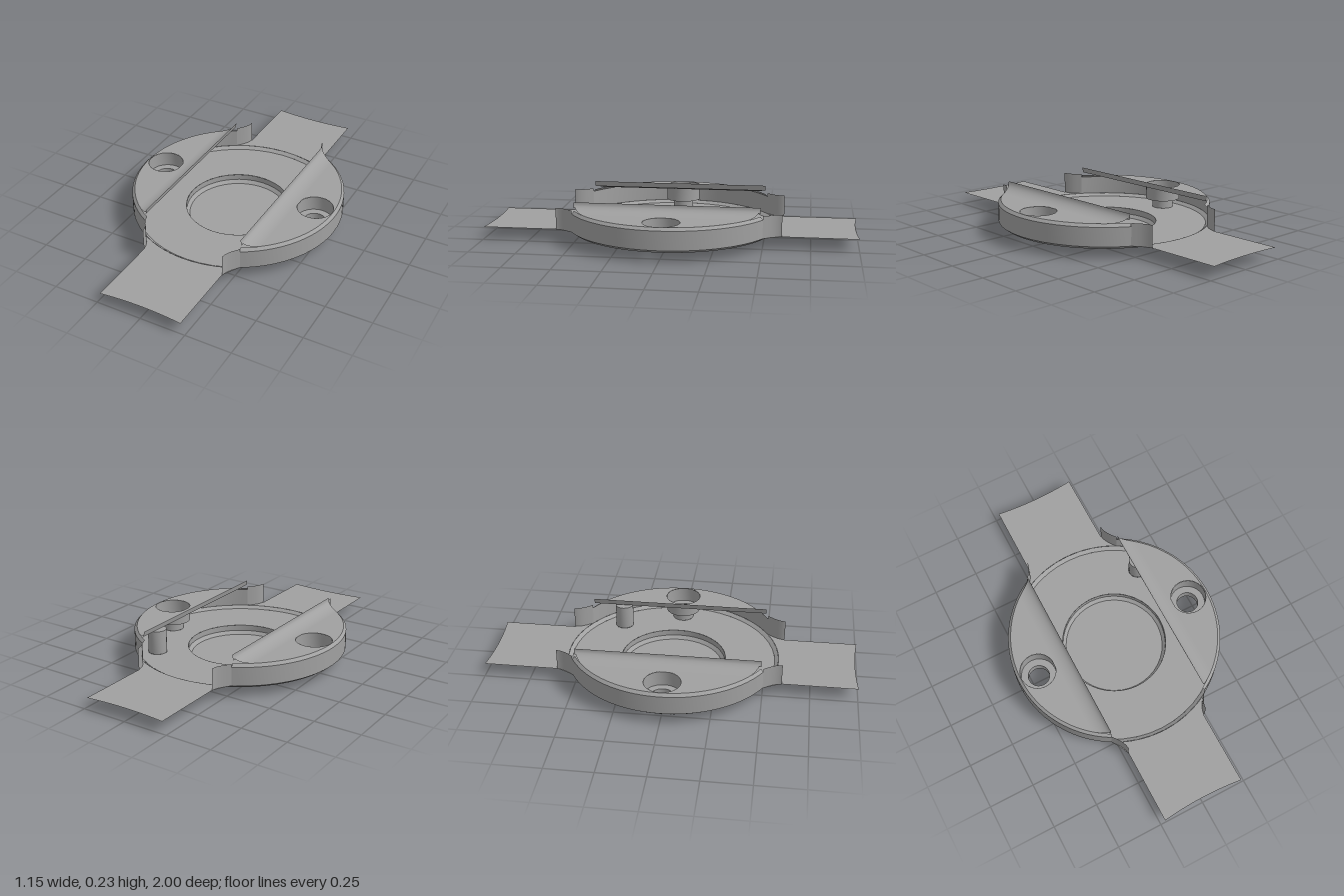
import * as THREE from 'three';
import { toCreasedNormals } from 'three/addons/utils/BufferGeometryUtils.js';
import { ParametricGeometry } from 'three/addons/geometries/ParametricGeometry.js';

const R = 0.575;        // outer radius of the case
const R_TOP = 0.56;     // radius inside the top chamfer
const FLOOR = 0.05, RIM = 0.065, TOP = 0.18;
const RIDGE_X = 0.275, FLAT_X = 0.36, BOLT_X = 0.46;

export function createModel() {
  const model = new THREE.Group();
  model.name = 'roundCase';
  const grey = new THREE.MeshStandardMaterial({ color: 0xa0a0a0, side: THREE.DoubleSide });
  grey.name = 'grey';

  const add = (parent, name, geometry) => {
    const mesh = new THREE.Mesh(geometry, grey);
    mesh.name = name;
    parent.add(mesh);
    return mesh;
  };
  // revolved sheet with crisp profile corners
  const lathe = (pts, segs, start = 0, length = Math.PI * 2) => toCreasedNormals(
    new THREE.LatheGeometry(pts.map(p => new THREE.Vector2(...p)), segs, start, length), 0.5);
  // flat sheet lying at height y, shape y becoming z
  const sheet = (shape, y) => new THREE.ShapeGeometry(shape, 32).rotateX(-Math.PI / 2).translate(0, y, 0);
  const circle = (x, y, r) => new THREE.Path().absarc(x, y, r, 0, Math.PI * 2, true);

  // floor with the pocket opening, two bolt holes and the pin hole
  const floor = new THREE.Shape().absarc(0, 0, 0.555, 0, Math.PI * 2);
  floor.holes.push(circle(0, 0, 0.285), circle(BOLT_X, 0, 0.058), circle(-BOLT_X, 0, 0.058), circle(0.32, 0.325, 0.05));
  add(model, 'floor', sheet(floor, FLOOR));
  add(model, 'floorChamfer', lathe([[0.555, FLOOR], [R, RIM]], 48));

  // sunken round pocket
  add(model, 'pocket', lathe([[0, 0], [0.268, 0], [0.285, 0.018], [0.285, FLOOR]], 40));

  // blind pin socket under one of the ridges
  const pin = add(model, 'pinSocket', lathe([[0.05, FLOOR], [0.05, TOP], [0, TOP]], 16));
  pin.position.set(0.32, 0, -0.325);

  // hollow side block, open towards the middle
  const edge = Math.asin(0.28 / R);
  const flatAngle = Math.acos(FLAT_X / R_TOP);
  for (const [name, turn] of [['leftBlock', 0], ['rightBlock', Math.PI]]) {
    const block = new THREE.Group();
    block.name = name;
    block.rotation.y = turn;
    model.add(block);

    add(block, 'outerWall', lathe([[R, RIM], [R, 0.165], [R_TOP, TOP]], 28, edge, Math.PI - 2 * edge));

    const top = new THREE.Shape().absarc(0, 0, R_TOP, -flatAngle, flatAngle);
    top.holes.push(circle(BOLT_X, 0, 0.096));
    add(block, 'topPlate', sheet(top, TOP));

    // concave sweep rising to the sharp ridge
    add(block, 'ridgeSweep', new ParametricGeometry((u, v, p) => {
      const x = FLAT_X + (RIDGE_X - FLAT_X) * u;
      const y = TOP + 0.047 * (1 - Math.sqrt(1 - u * u));
      p.set(x, y, (2 * v - 1) * Math.sqrt(R_TOP * R_TOP - x * x));
    }, 10, 2));
    // narrow inner face of the ridge
    add(block, 'ridgeFace', new ParametricGeometry((u, v, p) =>
      p.set(RIDGE_X + 0.007 * u, 0.227 - 0.03 * u, (2 * v - 1) * 0.49), 1, 1));

    // counterbored bolt hole
    const bolt = add(block, 'boltHole',
      lathe([[0.096, TOP], [0.096, 0.1], [0.058, 0.1], [0.058, FLOOR]], 24));
    bolt.position.x = BOLT_X;

    // lug walls flaring from the rim to the strap
    for (const s of [1, -1]) {
      add(block, 'lugWall', new ParametricGeometry((u, v, p) =>
        p.set(0.28 - 0.05 * Math.sin(u * Math.PI / 2), RIM + 0.118 * v, s * (0.502 + 0.098 * u)), 5, 1));
    }
  }

  // thin straps at front and back with hollowed ends
  for (const [name, turn] of [['backStrap', 0], ['frontStrap', Math.PI]]) {
    const strap = new THREE.Shape();
    strap.moveTo(0.28, 0.502);
    strap.quadraticCurveTo(0.245, 0.56, 0.228, 0.6);
    strap.lineTo(0.228, 1);
    strap.quadraticCurveTo(0, 0.972, -0.228, 1);
    strap.lineTo(-0.228, 0.6);
    strap.quadraticCurveTo(-0.245, 0.56, -0.28, 0.502);
    strap.absarc(0, 0, R, Math.PI / 2 + edge, Math.PI / 2 - edge, true);
    add(model, name, sheet(strap, RIM)).rotation.y = turn;
  }
  return model;
}
